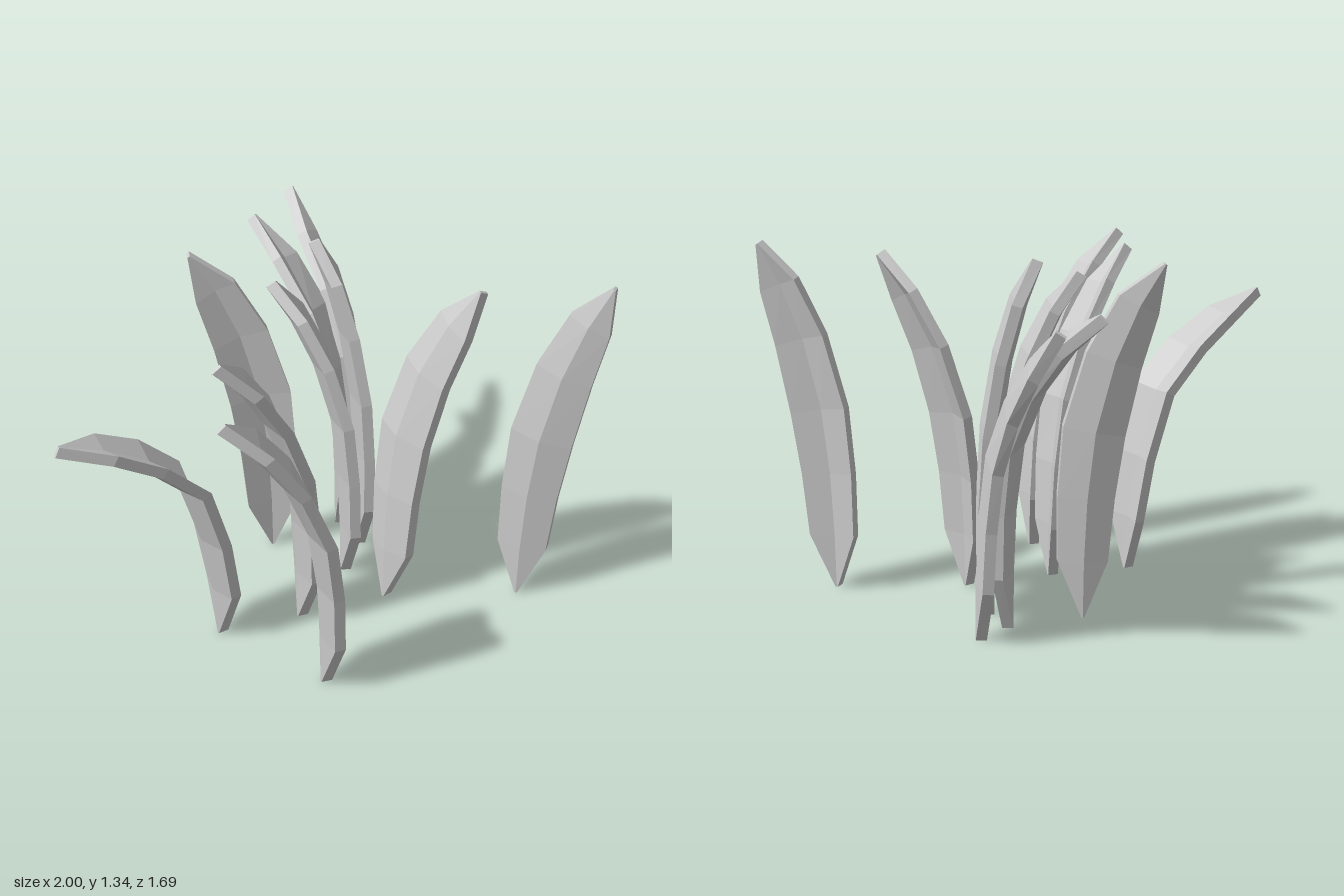
import * as THREE from 'three';

// One entry per blade: base (x, z), tip (x, y, z), direction of its width (x, z)
// and, where the blade bows sideways between its ends, the offset (x, z)
const BLADES = [
  { base: [-0.41, 0.28], tip: [-0.99, 1.04, 0.49], wide: [0.3, 0.95], bow: [-0.04, 0] },
  { base: [-0.10, 0.26], tip: [-0.44, 1.25, 0.45], wide: [0.12, 1] },
  { base: [-0.11, 0.645], tip: [-0.50, 1.25, 0.80], wide: [0.05, 1], bow: [0, 0.015] },
  { base: [-0.10, -0.215], tip: [-0.39, 1.31, -0.24], wide: [-1, -0.1] },
  { base: [0.73, 0.32], tip: [0.98, 1.33, 0.405], wide: [0.82, 0.57], bow: [0, 0.015] },
  { base: [0.24, 0.22], tip: [0.55, 1.30, 0.265], wide: [0.42, 0.91], bow: [0, -0.04] },
  { base: [0.13, 0.03], tip: [-0.13, 1.25, -0.06], wide: [-0.1, 1] },
  { base: [0.23, -0.12], tip: [0.06, 1.33, -0.19], wide: [-0.15, 1] },
  { base: [0.31, -0.37], tip: [0.13, 1.21, -0.84], wide: [0.2, -0.98] },
  { base: [0.19, -0.27], tip: [-0.065, 1.21, -0.645], wide: [-0.35, 0.94], bow: [0, 0.03] },
];

// Rows along a blade: straight lower height, then share of the remaining rise,
// share of the lean, share of the bow, and half the width
const BEND = 0.7;
const ROWS = [
  { y: 0, lean: 0, bow: 0, half: 0.005 },
  { y: 0.21, lean: 0.01, bow: 0.2, half: 0.093 },
  { y: 0.45, lean: 0.05, bow: 0.6, half: 0.105 },
  { y: BEND, lean: 0.15, bow: 1, half: 0.115 },
  { rise: 0.43, lean: 0.39, bow: 1, half: 0.105 },
  { rise: 0.76, lean: 0.69, bow: 0.6, half: 0.08 },
  { rise: 1, lean: 1, bow: 0, half: 0.005 },
];
const THICK = 0.04;
const FOLD = 0.27;

// Folded cross-section: side of the blade (-1, 0, 1) and its face (outer, inner)
const SECTION = [[-1, -1], [0, -1], [1, -1], [1, 1], [0, 1], [-1, 1]];

function bladeGeometry({ base, tip, wide, bow = [0, 0] }) {
  const spine = ROWS.map((r) => new THREE.Vector3(
    THREE.MathUtils.lerp(base[0], tip[0], r.lean) + bow[0] * r.bow,
    r.rise === undefined ? r.y : BEND + (tip[1] - BEND) * r.rise,
    THREE.MathUtils.lerp(base[1], tip[2], r.lean) + bow[1] * r.bow,
  ));
  const positions = [];
  const index = [];
  const n = SECTION.length;

  ROWS.forEach((row, r) => {
    // Local frame, square to the spine
    const along = spine[Math.min(r + 1, ROWS.length - 1)].clone()
      .sub(spine[Math.max(r - 1, 0)]).normalize();
    if (r === 0) along.set(0, 1, 0);
    const across = new THREE.Vector3(wide[0], 0, wide[1]).normalize();
    across.addScaledVector(along, -across.dot(along)).normalize();
    const inward = along.clone().cross(across);

    for (const [side, face] of SECTION) {
      const p = spine[r].clone()
        .addScaledVector(across, side * row.half)
        .addScaledVector(inward, face * THICK / 2 + Math.abs(side) * row.half * FOLD);
      positions.push(p.x, p.y, p.z);
    }
    if (r === 0) return;
    for (let i = 0; i < n; i++) {
      const a = (r - 1) * n + i;
      const b = (r - 1) * n + (i + 1) % n;
      index.push(a, b, b + n, a, b + n, a + n);
    }
  });

  // Small flat ends at the foot and the tip
  const t = (ROWS.length - 1) * n;
  for (const [a, b, c, d] of [[0, 1, 4, 5], [1, 2, 3, 4]]) {
    index.push(a, c, b, a, d, c);
    index.push(t + a, t + b, t + c, t + a, t + c, t + d);
  }

  const geometry = new THREE.BufferGeometry();
  geometry.setAttribute('position', new THREE.Float32BufferAttribute(positions, 3));
  geometry.setIndex(index);
  const flat = geometry.toNonIndexed();
  flat.computeVertexNormals();
  return flat;
}

export function createModel() {
  const model = new THREE.Group();
  model.name = 'grassTuft';
  const material = new THREE.MeshStandardMaterial({ color: 0xcccccc, flatShading: true });
  BLADES.forEach((blade, i) => {
    const mesh = new THREE.Mesh(bladeGeometry(blade), material);
    mesh.name = `grassBlade${i + 1}`;
    model.add(mesh);
  });
  return model;
}
